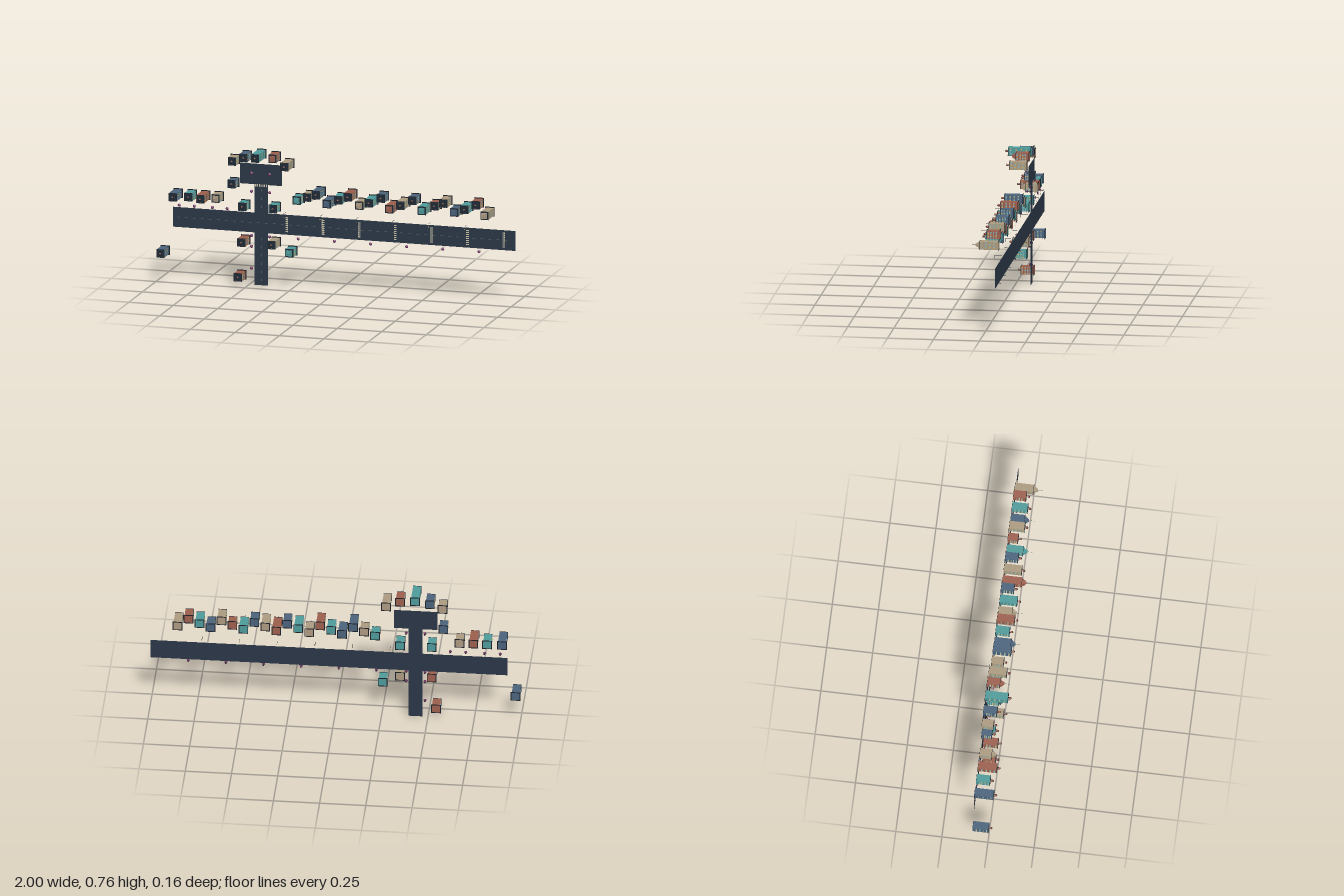
import * as THREE from 'three';
import { mergeGeometries } from 'three/addons/utils/BufferGeometryUtils.js';

const GROUND = -0.085; // the town lies in the xy plane and rises along +z
const WALLS = { blue: 0x4a637c, teal: 0x4f9a9a, brick: 0x9c5f4e, sand: 0xac9a80 };
const LOT = 0.053, BODY = 0.043;

const materials = {};
const mat = (color) => (materials[color] ??= new THREE.MeshStandardMaterial({ color, flatShading: true }));

// Box from its centre in x, y and its base in z
function box(w, d, h, x, y, z) {
  return new THREE.BoxGeometry(w, d, h).translate(x, y, z + h / 2);
}

// Cylinder or cone standing along z
function post(rTop, rBase, h, x, y, z, sides = 8) {
  return new THREE.CylinderGeometry(rTop, rBase, h, sides).rotateX(Math.PI / 2).translate(x, y, z + h / 2);
}

function add(parent, name, color, ...geos) {
  const mesh = new THREE.Mesh(geos.length > 1 ? mergeGeometries(geos) : geos[0], mat(color));
  mesh.name = name;
  parent.add(mesh);
  return mesh;
}

// Rows of lit and unlit panes on the two side walls and the street wall
function addWindows(g, h, seed) {
  const lit = [], unlit = [];
  const floors = 4, step = (h - 0.012) / floors;
  for (let side = 0; side < 3; side++) {
    for (let f = 0; f < floors; f++) {
      for (let c = 0; c < 5; c++) {
        const pane = box(0.005, 0.001, 0.008, (c - 2) * 0.0078, -BODY / 2, 0.012 + step * f + step / 2 - 0.004);
        pane.rotateZ((side - 1) * Math.PI / 2);
        ((f * 7 + c * 5 + side * 3 + seed * 11) % 13 < 4 ? lit : unlit).push(pane);
      }
    }
  }
  add(g, 'litWindows', 0xe0b050, ...lit);
  add(g, 'windows', 0x86b8c0, ...unlit);
}

// Stepped crown with a spire
function addCrown(g, h, color) {
  const tiers = [[0.031, 0.009], [0.022, 0.008], [0.013, 0.007]];
  let z = h;
  const geos = tiers.map(([w, t]) => {
    const tier = box(w, w, t, 0, 0, z);
    z += t;
    return tier;
  });
  add(g, 'crownTiers', color, ...geos);
  add(g, 'spire', 0x5b5a5c, post(0.0004, 0.0012, 0.031, 0, 0, z, 6));
}

// Water tank on four legs
function addTank(g, h) {
  const legs = [];
  for (const x of [-1, 1]) for (const y of [-1, 1]) legs.push(box(0.001, 0.001, 0.006, x * 0.004, y * 0.004, h));
  add(g, 'tankLegs', 0x23262c, ...legs);
  add(g, 'waterTank', 0x8a4b3c, post(0.006, 0.006, 0.01, 0, 0, h + 0.006, 10));
  add(g, 'tankRoof', 0x33282a, post(0, 0.0068, 0.005, 0, 0, h + 0.016, 10));
}

function makeBuilding([x, y, colorName, top, crown], i) {
  const g = new THREE.Group();
  g.name = 'building';
  const h = top - GROUND, color = WALLS[colorName];
  add(g, 'lot', 0x1b1f26, box(LOT, LOT, 0.0012, 0, 0, 0));
  add(g, 'walls', color, box(BODY, BODY, h, 0, 0, -0.0002));
  add(g, 'roof', 0x1d2a36, box(BODY - 0.004, BODY - 0.004, 0.0006, 0, 0, h));
  // Low parapet round the roof
  const rim = [];
  for (const s of [-1, 1]) {
    rim.push(box(BODY + 0.002, 0.003, 0.002, 0, s * BODY / 2, h - 0.0005));
    rim.push(box(0.003, BODY + 0.002, 0.002, s * BODY / 2, 0, h - 0.0005));
  }
  add(g, 'parapet', 0x22272f, ...rim);
  addWindows(g, h, i);
  add(g, 'door', 0x2a2523, box(0.008, 0.001, 0.01, 0, -BODY / 2, 0.001));
  if (crown) addCrown(g, h, color);
  else {
    add(g, 'awning', 0xa83a36, box(0.034, 0.005, 0.0015, 0, -BODY / 2 - 0.0025, 0.012));
    addTank(g, h);
  }
  g.position.set(x, y, GROUND);
  return g;
}

// x, y, wall colour, roof height, stepped crown
const BUILDINGS = [
  [-0.974, 0.157, 'blue', 0.001, 0], [-0.9, 0.478, 'blue', 0.018, 0],
  [-0.82, 0.478, 'teal', -0.01, 0], [-0.745, 0.478, 'brick', 0.017, 0],
  [-0.67, 0.478, 'sand', -0.02, 1], [-0.583, 0.562, 'blue', -0.03, 0],
  [-0.52, 0.443, 'teal', -0.02, 0], [-0.348, 0.443, 'teal', -0.02, 0],
  [-0.578, 0.69, 'sand', -0.022, 0], [-0.51, 0.716, 'blue', -0.012, 0],
  [-0.43, 0.73, 'teal', 0.038, 0], [-0.348, 0.722, 'brick', -0.015, 1],
  [-0.273, 0.688, 'sand', 0.012, 0], [-0.52, 0.248, 'brick', -0.005, 0],
  [-0.348, 0.248, 'sand', 0.004, 0], [-0.255, 0.205, 'teal', -0.02, 1],
  [-0.543, 0.052, 'brick', -0.015, 0],
];

// Zigzag terrace north of the avenue: colour initial and roof height
const TERRACE = [
  ['teal', -0.025], ['sand', -0.02], ['blue', 0.014], ['blue', 0.005], ['teal', -0.01], ['brick', 0.01],
  ['sand', -0.01], ['teal', 0.01], ['blue', -0.015], ['brick', 0.02], ['sand', 0.012], ['blue', -0.015],
  ['teal', 0.005], ['brick', -0.03], ['sand', -0.002], ['blue', -0.01], ['teal', 0.0], ['brick', -0.015],
  ['sand', 0.017],
];
TERRACE.forEach(([color, top], i) => {
  BUILDINGS.push([-0.214 + i * 0.0594, [0.498, 0.52, 0.545][i % 3], color, top, i % 3 === 0]);
});

function makeRoads() {
  const g = new THREE.Group();
  g.name = 'roads';
  const t = 0.0012;
  add(g, 'avenue', 0x2a3646, box(1.93, 0.11, t, 0.035, 0.345, GROUND));
  add(g, 'crossStreet', 0x2a3646, box(0.075, 0.29, t, -0.433, 0.145, GROUND),
    box(0.075, 0.16, t, -0.433, 0.478, GROUND));
  add(g, 'plaza', 0x2a3646, box(0.236, 0.114, t, -0.433, 0.614, GROUND));
  const stripes = [], dashes = [], z = GROUND + t;
  // Zebra crossings
  for (let i = 0; i < 7; i++) {
    for (let k = 0; k < 8; k++) stripes.push(box(0.015, 0.006, 0.0006, -0.288 + i * 0.2035, 0.307 + k * 0.011, z));
  }
  for (let k = 0; k < 7; k++) stripes.push(box(0.006, 0.014, 0.0006, -0.463 + k * 0.01, 0.552, z));
  // Lane dashes
  for (let x = -0.9; x < 0.99; x += 0.045) dashes.push(box(0.014, 0.0025, 0.0005, x, 0.345, z));
  for (let y = 0.03; y < 0.53; y += 0.045) {
    if (Math.abs(y - 0.345) > 0.06) dashes.push(box(0.0025, 0.014, 0.0005, -0.433, y, z));
  }
  add(g, 'crossings', 0xcfc8ac, ...stripes);
  add(g, 'laneDashes', 0x7d7560, ...dashes);
  return g;
}

// Small street parasol
function makeParasol(x, y) {
  const g = new THREE.Group();
  g.name = 'parasol';
  add(g, 'stem', 0x2a2226, post(0.0012, 0.0012, 0.018, 0, 0, 0, 6));
  add(g, 'foot', 0x2a2226, post(0.004, 0.004, 0.003, 0, 0, 0));
  add(g, 'canopy', 0x7a3f6c, post(0.002, 0.009, 0.007, 0, 0, 0.015));
  g.position.set(x, y, GROUND);
  return g;
}

// Lamp post with an arm over the avenue
function makeLamp(x, y) {
  const g = new THREE.Group();
  g.name = 'streetLamp';
  add(g, 'pole', 0x34383e, post(0.0007, 0.001, 0.04, 0, 0, 0, 6));
  add(g, 'arm', 0x34383e, box(0.0012, 0.018, 0.0012, 0, -0.009, 0.039));
  add(g, 'lampHead', 0xe0c080, box(0.003, 0.005, 0.0015, 0, -0.017, 0.0375));
  g.position.set(x, y, GROUND);
  return g;
}

export function createModel() {
  const model = new THREE.Group();
  model.name = 'town';
  model.add(makeRoads());
  BUILDINGS.forEach((b, i) => model.add(makeBuilding(b, i)));
  for (let i = 0; i < 6; i++) {
    model.add(makeParasol(-0.22 + i * 0.2035, 0.275));
    model.add(makeLamp(-0.09 + (i - 1) * 0.2035, 0.414));
  }
  for (const x of [-0.89, -0.805, -0.703, -0.62]) model.add(makeParasol(x, 0.415));
  for (const y of [0.62, 0.52, 0.215, 0.275, 0.095]) {
    model.add(makeParasol(-0.483, y));
    if (y > 0.2) model.add(makeParasol(-0.381, y));
  }
  return model;
}
